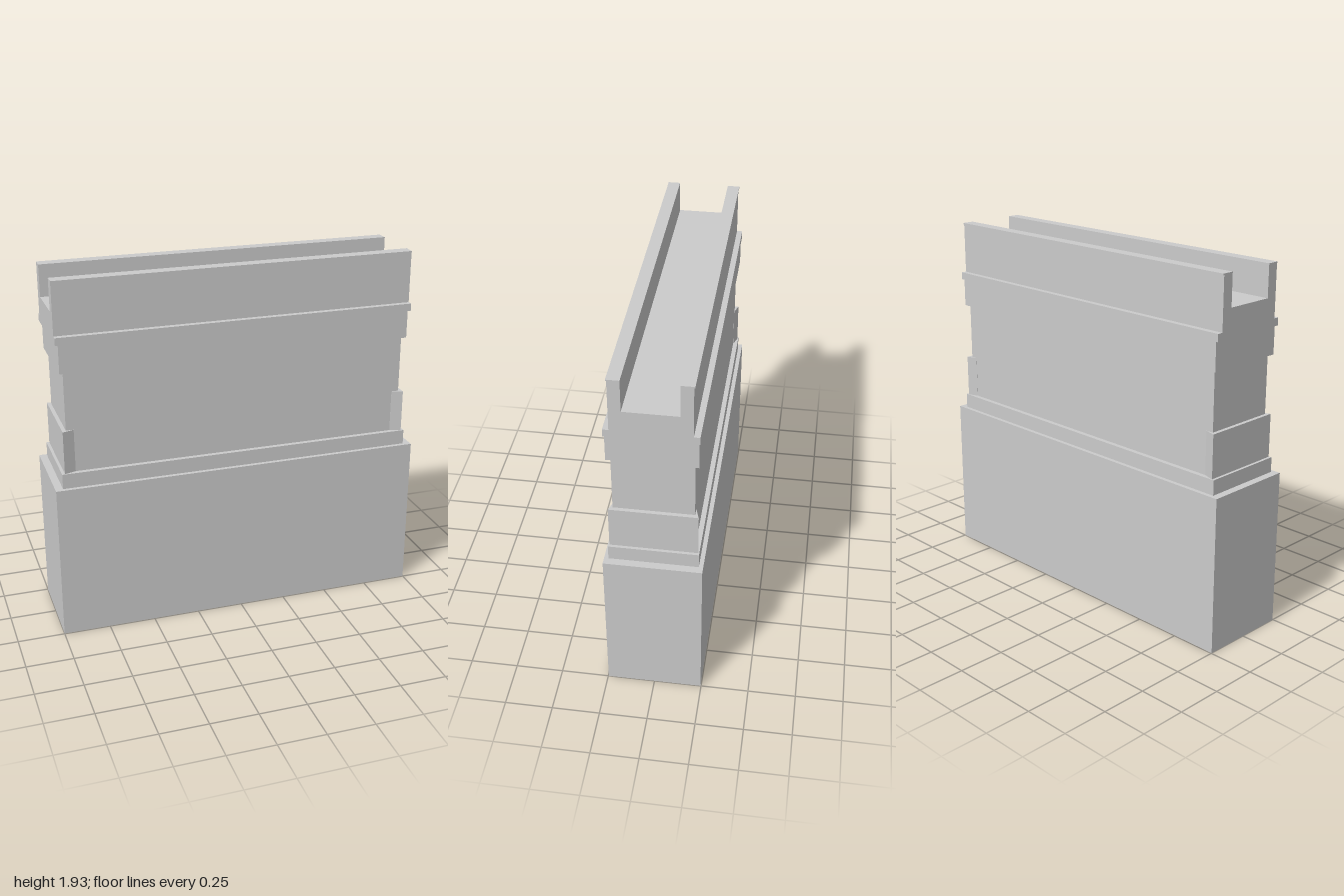
import * as THREE from 'three';

const grey = new THREE.MeshStandardMaterial({ color: 0xcccccc, side: THREE.DoubleSide });

export function createModel() {
  const model = new THREE.Group();

  const add = (name, geometry) => {
    const mesh = new THREE.Mesh(geometry, grey);
    mesh.name = name;
    model.add(mesh);
    return mesh;
  };

  // Block centred on x, given half width, half depth and height range
  const block = (name, hx, hz, y0, y1, z = 0) => {
    const mesh = add(name, new THREE.BoxGeometry(hx * 2, y1 - y0, hz * 2));
    mesh.position.set(0, (y0 + y1) / 2, z);
    return mesh;
  };

  // Hollow base, open underneath: drop the bottom face of the box
  const base = block('base', 1, 0.247, 0, 0.84);
  const index = Array.from(base.geometry.index.array);
  index.splice(18, 6);
  base.geometry.setIndex(index);
  base.geometry.clearGroups();

  // Stacked wall courses
  block('plinth', 0.96, 0.225, 0.84, 0.92);
  block('wall', 0.925, 0.2, 0.92, 1.46);
  block('frieze', 0.945, 0.22, 1.46, 1.61);
  block('cornice', 0.96, 0.225, 1.61, 1.65);
  block('channelFloor', 0.96, 0.195, 1.65, 1.76);

  for (const side of [-1, 1]) {
    // Parapet with a thin coping that overhangs slightly outward
    block('parapet', 0.96, 0.03, 1.76, 1.922, side * 0.165);
    block('coping', 0.96, 0.0325, 1.922, 1.93, side * 0.1675);

    // End buttress whose front and back faces taper into the wall
    const plan = new THREE.Shape([
      [0.885, -0.201], [0.945, -0.22], [0.945, 0.22], [0.885, 0.201],
    ].map(([x, z]) => new THREE.Vector2(x * side, z)));
    const buttress = new THREE.ExtrudeGeometry(plan, { depth: 0.23, bevelEnabled: false });
    buttress.rotateX(-Math.PI / 2);
    add('endButtress', buttress).position.y = 0.92;
  }

  return model;
}
